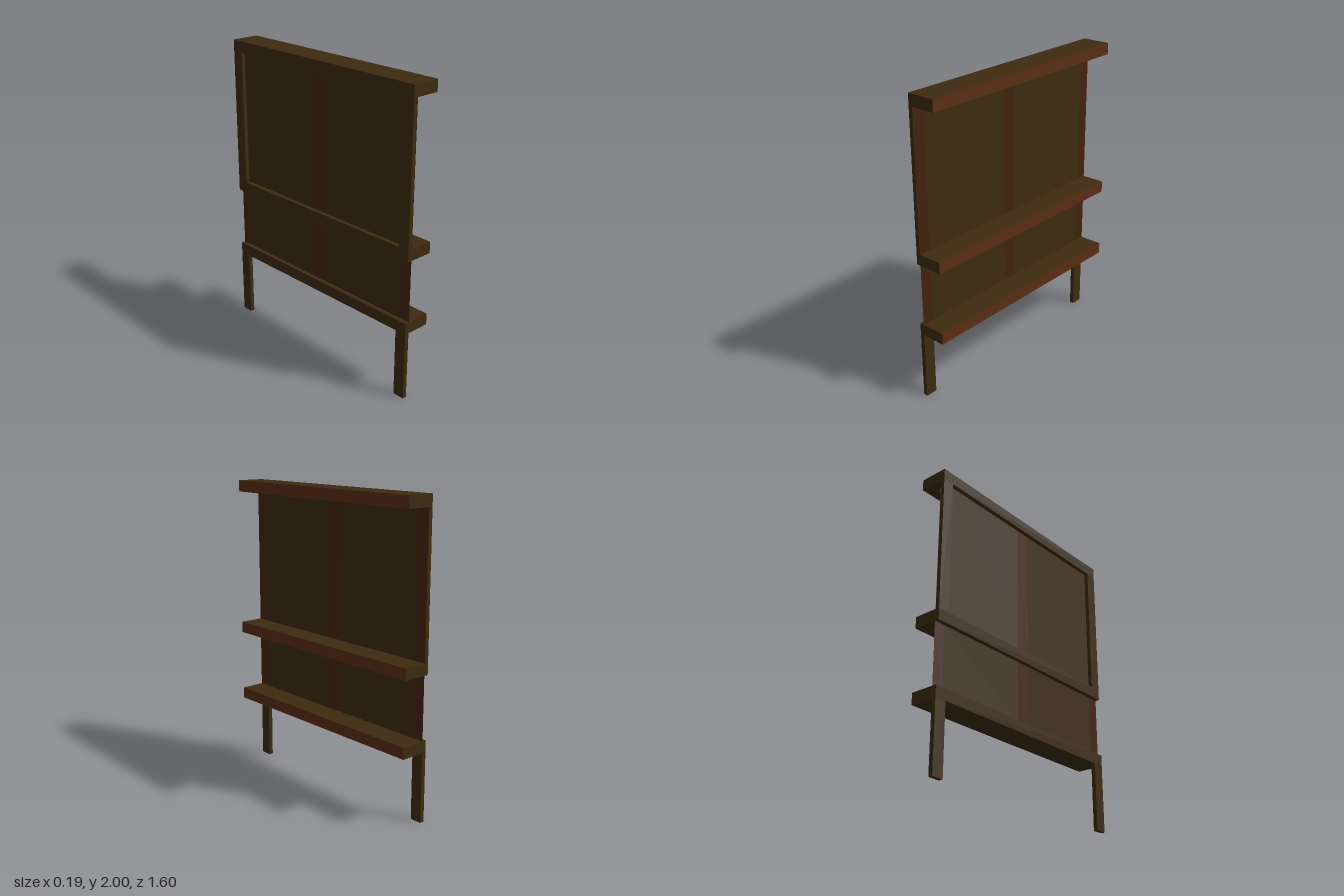
import * as THREE from 'three';

const wood = new THREE.MeshStandardMaterial({ color: 0x3d2b10 });
const edgeWood = new THREE.MeshStandardMaterial({ color: 0x5a2d16 });
const panelWood = new THREE.MeshStandardMaterial({ color: 0x3d2b10, side: THREE.DoubleSide });
const stripWood = new THREE.MeshStandardMaterial({ color: 0x43220f, side: THREE.DoubleSide });

const BACK = -0.095, FRONT = 0.095, PANEL = -0.066, HALF = 0.8, POST = 0.08;

// Box given by its lower and upper limits on each axis
function box(name, [x0, x1], [y0, y1], [z0, z1], material) {
  const mesh = new THREE.Mesh(new THREE.BoxGeometry(x1 - x0, y1 - y0, z1 - z0), material);
  mesh.position.set((x0 + x1) / 2, (y0 + y1) / 2, (z0 + z1) / 2);
  mesh.name = name;
  return mesh;
}

// Thin upright sheet facing +x
function sheet(name, [y0, y1], [z0, z1], material) {
  const mesh = new THREE.Mesh(new THREE.PlaneGeometry(z1 - z0, y1 - y0), material);
  mesh.rotation.y = Math.PI / 2;
  mesh.position.set(PANEL, (y0 + y1) / 2, (z0 + z1) / 2);
  mesh.name = name;
  return mesh;
}

export function createModel() {
  const model = new THREE.Group();
  model.name = 'shelfRack';

  // Three shelves with a redder front edge
  const shelfFaces = [edgeWood, wood, wood, wood, wood, wood];
  const shelves = { bottomShelf: [0.455, 0.53], middleShelf: [0.94, 1.015], topShelf: [1.925, 2] };
  for (const [name, y] of Object.entries(shelves)) {
    model.add(box(name, [BACK, FRONT], y, [-HALF, HALF], shelfFaces));
  }

  // Legs and upper frame posts on both ends
  for (const [side, z] of [['front', [HALF - POST, HALF]], ['back', [-HALF, POST - HALF]]]) {
    model.add(box(side + 'Leg', [BACK, PANEL], [0, 0.455], z, wood));
    model.add(box(side + 'Post', [BACK, PANEL - 0.002], [1.015, 1.925], z, wood));
  }

  // Back panel: boards between three upright strips
  const stops = [-HALF, POST - HALF, -0.05, 0.05, HALF - POST, HALF];
  for (const y of [[0.53, 0.94], [1.015, 1.925]]) {
    for (let i = 0; i < 5; i++) {
      const isStrip = i % 2 === 0;
      model.add(sheet(isStrip ? 'panelStrip' : 'backPanel', y, [stops[i], stops[i + 1]],
        isStrip ? stripWood : panelWood));
    }
  }

  return model;
}
